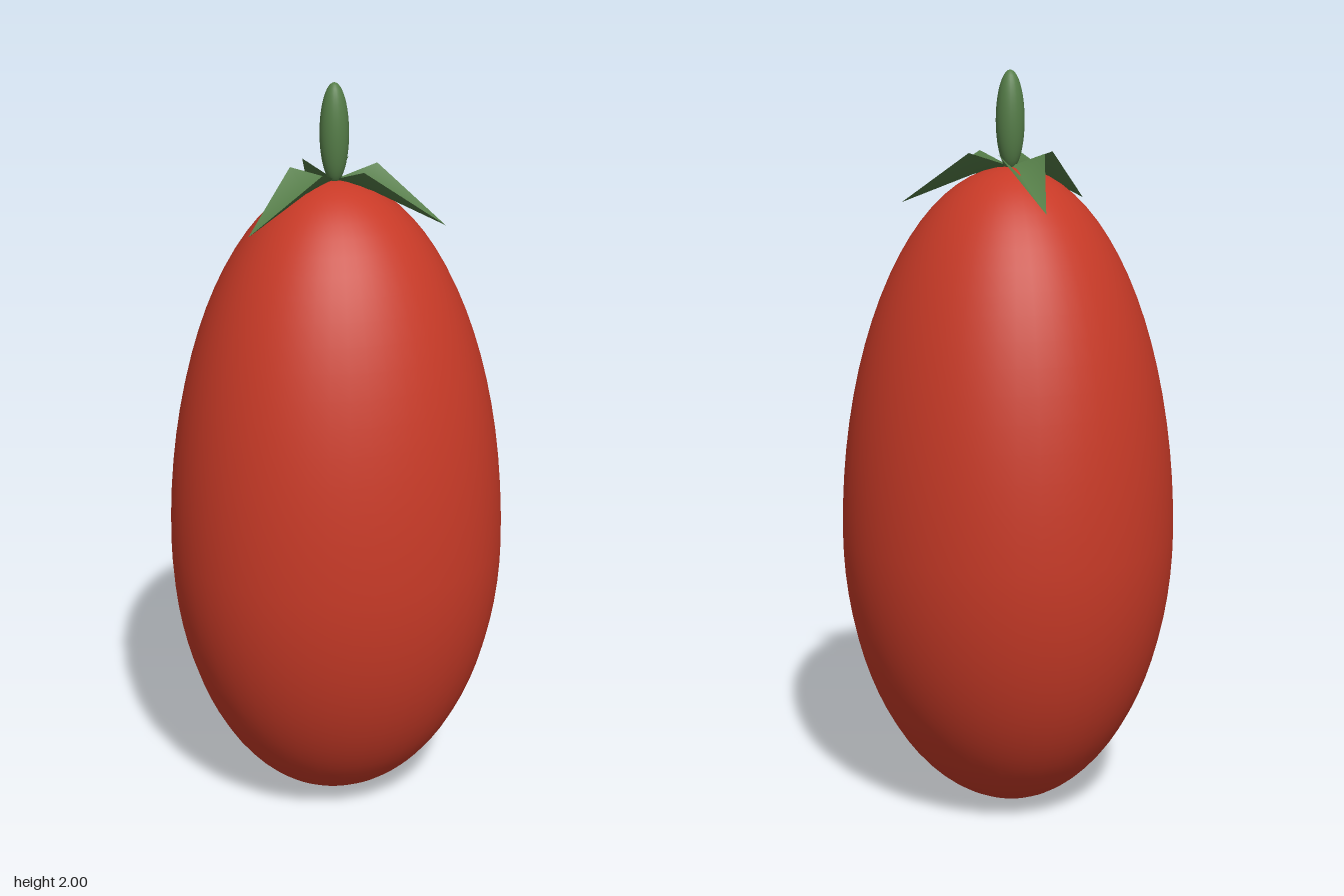
import * as THREE from 'three';
import { mergeVertices } from 'three/addons/utils/BufferGeometryUtils.js';

const AXIS_X = -0.007; // the three-lobed fruit is slightly off its own bounding centre

// Egg-shaped fruit: widest low down, with three very soft lobes
function fruitGeometry() {
  const widest = 0.76, below = 0.76, above = 0.99, radius = 0.4515;
  const geo = new THREE.SphereGeometry(1, 48, 40);
  const pos = geo.attributes.position;
  for (let i = 0; i < pos.count; i++) {
    const x = pos.getX(i), y = pos.getY(i), z = pos.getZ(i);
    const r = radius * (1 + 0.016 * Math.cos(3 * Math.atan2(z, x)));
    pos.setXYZ(i, x * r, widest + y * (y > 0 ? above : below), z * r);
  }
  geo.deleteAttribute('uv');
  geo.deleteAttribute('normal');
  const merged = mergeVertices(geo, 1e-5);
  merged.computeVertexNormals();
  return merged;
}

// Kite-shaped leaf folded into a shallow trough along its midline
function sepalGeometry() {
  const geo = new THREE.BufferGeometry();
  geo.setAttribute('position', new THREE.Float32BufferAttribute([
    0, 1.75, 0, // base
    0.097, 1.787, 0.063, // raised edge
    0.297, 1.65, 0, // tip
    0.097, 1.787, -0.063, // raised edge
    0.1, 1.728, 0, // midline
  ], 3));
  geo.setIndex([0, 1, 4, 1, 2, 4, 2, 3, 4, 3, 0, 4]);
  geo.computeVertexNormals();
  return geo;
}

export function createModel() {
  const red = new THREE.MeshStandardMaterial({ color: 0xc83a27 });
  red.name = 'tomato red';
  const green = new THREE.MeshStandardMaterial({ color: 0x557d48, side: THREE.DoubleSide });
  green.name = 'leaf green';

  const model = new THREE.Group();
  model.name = 'plumTomato';
  const add = (name, geo, mat) => {
    const mesh = new THREE.Mesh(geo, mat);
    mesh.name = name;
    mesh.position.x = AXIS_X;
    model.add(mesh);
    return mesh;
  };

  add('fruit', fruitGeometry(), red);

  // Stem: slim upright ellipsoid
  const stem = add('stem', new THREE.SphereGeometry(1, 24, 20), green);
  stem.scale.set(0.038, 0.13, 0.038);
  stem.position.y = 1.87;

  // Three sepals around the stem
  const sepal = sepalGeometry();
  for (let i = 0; i < 3; i++) {
    add('sepal' + (i + 1), sepal, green).rotation.y = (i * Math.PI * 2) / 3;
  }
  return model;
}
